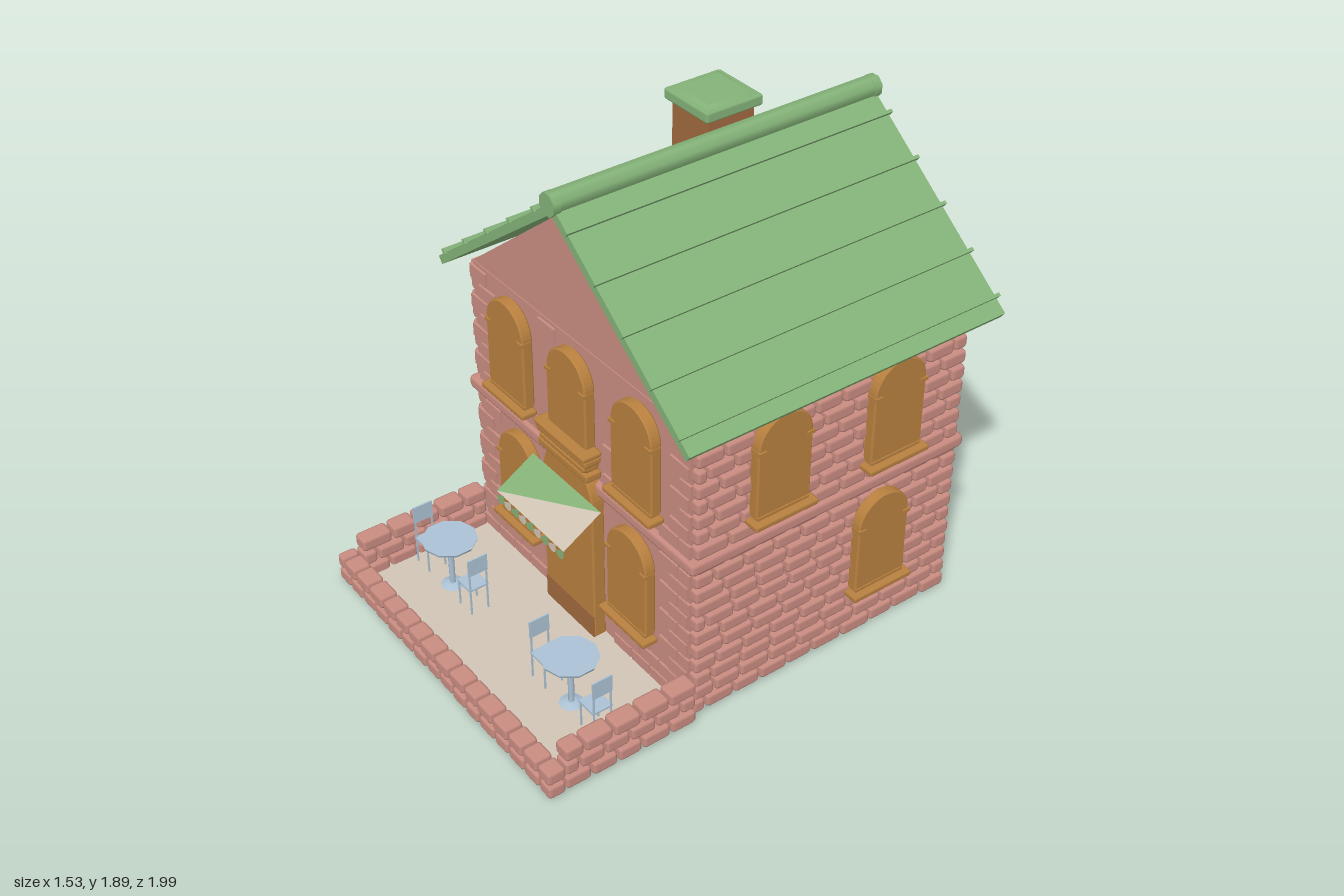
import * as THREE from 'three';
import { mergeGeometries } from 'three/addons/utils/BufferGeometryUtils.js';
import { RoundedBoxGeometry } from 'three/addons/geometries/RoundedBoxGeometry.js';

const mat = (name, color, side = THREE.FrontSide) => {
  const m = new THREE.MeshStandardMaterial({ color, side });
  m.name = name;
  return m;
};

export function createModel() {
  const house = new THREE.Group();
  house.name = 'brickHouse';
  const brick = mat('brickPink', 0xc98c81);
  const green = mat('roofGreen', 0x84b278, THREE.DoubleSide);
  const trim = mat('ochreTrim', 0xb8803f);
  const wood = mat('brownWood', 0xa0683f);
  const blue = mat('glassBlue', 0xabc1d4, THREE.DoubleSide);
  const beige = mat('stoneBeige', 0xd0c4b4, THREE.DoubleSide);

  let seed = 7;
  const rnd = () => (seed = (seed * 16807) % 2147483647) / 2147483647;

  const add = (parent, name, geo, material, x = 0, y = 0, z = 0) => {
    const m = new THREE.Mesh(geo, material);
    m.name = name;
    m.position.set(x, y, z);
    parent.add(m);
    return m;
  };
  const box = (w, h, d) => new THREE.BoxGeometry(w, h, d);
  const soft = (w, h, d, r) => new RoundedBoxGeometry(w, h, d, 1, r);

  // House body with both gables
  const section = new THREE.Shape([[-0.665, 0], [0.665, 0], [0.665, 1.26], [0, 1.8], [-0.665, 1.26]]
    .map(([x, y]) => new THREE.Vector2(x, y)));
  add(house, 'walls', new THREE.ExtrudeGeometry(section, { depth: 1.215, bevelEnabled: false }), brick, 0, 0, -0.87);
  add(house, 'gableLine', box(1.335, 0.008, 1.222), brick, 0, 1.26, -0.2625);
  add(house, 'bandCourse', soft(1.42, 0.055, 1.27, 0.018), brick, 0, 0.7, -0.265);

  // Rows of rounded bricks along x or z
  const pitch = 0.0657;
  const rowOfBricks = (list, alongX, from, to, row, across, depth, len) => {
    let p = from, first = row % 2 ? len * 0.55 : len;
    while (p < to - 0.01) {
      let l = first * (0.9 + 0.2 * rnd());
      first = len;
      if (to - p - l < len * 0.35) l = to - p;
      const d = depth + 0.01 * (rnd() - 0.5);
      const g = alongX ? soft(l - 0.008, 0.056, d, 0.014) : soft(d, 0.056, l - 0.008, 0.014);
      const y = 0.033 + row * pitch;
      list.push(alongX ? g.translate(p + l / 2, y, across) : g.translate(across, y, p + l / 2));
      p += l;
    }
  };

  for (const s of [-1, 1]) {
    const list = [];
    for (let r = 0; r < 19; r++) rowOfBricks(list, false, -0.88, 0.345, r, s * 0.673, 0.056, 0.13);
    add(house, s > 0 ? 'leftBrickwork' : 'rightBrickwork', mergeGeometries(list), brick);
  }

  // Terrace floor and low wall
  add(house, 'terraceFloor', box(1.36, 0.014, 0.62), beige, 0, 0.009, 0.65);
  const low = [];
  for (let r = 0; r < 3; r++) {
    for (const s of [-1, 1]) rowOfBricks(low, false, 0.35, 0.92, r, s * 0.69, 0.075, 0.115);
    if (r < 2) rowOfBricks(low, true, -0.735, 0.735, r, 0.958, 0.075, 0.095);
  }
  add(house, 'terraceWall', mergeGeometries(low), brick);

  // Openings: [x, bottom of frame]
  const upper = [-0.39, 0, 0.39].map((x) => [x, 0.83]);
  const lower = [-0.355, 0.355].map((x) => [x, 0.25]);

  // Scattered facing bricks on the front
  const facing = [];
  const blocked = (x, y, w) =>
    [...upper, ...lower].some(([cx, by]) => Math.abs(x - cx) < 0.115 + w / 2 && y > by - 0.06 && y < by + 0.41) ||
    (Math.abs(x) < 0.15 + w / 2 && y < 0.9) || Math.abs(y - 0.7) < 0.05;
  for (let r = 0; r < 19; r++) {
    const y = 0.033 + r * pitch;
    for (let x = -0.675 + (r % 2) * 0.055; x < 0.66; x += 0.112) {
      const edge = Math.abs(x + 0.053) > 0.55;
      const w = Math.min(0.104, 0.675 - x);
      if (w > 0.03 && (edge || rnd() < 0.75) && !blocked(x + w / 2, y, w))
        facing.push(box(w, 0.056, 0.012).translate(x + w / 2, y, 0.349));
    }
  }
  add(house, 'frontFacingBricks', mergeGeometries(facing), brick);

  // Arched outline: half width r, straight sides from y0 up to y1
  const arch = (Type, r, y0, y1) => {
    const p = new Type();
    p.moveTo(-r, y0);
    p.lineTo(r, y0);
    p.lineTo(r, y1);
    p.absarc(0, y1, r, 0, Math.PI, false);
    p.lineTo(-r, y0);
    return p;
  };
  const archFrame = (ro, ri, y0, y1, depth) => {
    const s = arch(THREE.Shape, ro, y0, y1);
    s.holes.push(arch(THREE.Path, ri, y0 + 0.006, y1));
    const bevel = 0.006;
    return new THREE.ExtrudeGeometry(s, {
      depth: depth - bevel, curveSegments: 12, bevelThickness: bevel, bevelSize: bevel, bevelOffset: -bevel, bevelSegments: 1,
    });
  };

  // Arched window, facing +z with its base at the origin
  const makeWindow = (name, x, y, z, turn = 0) => {
    const g = new THREE.Group();
    g.name = name;
    add(g, 'windowFrame', archFrame(0.12, 0.09, 0, 0.285, 0.04), trim);
    add(g, 'glass', new THREE.ShapeGeometry(arch(THREE.Shape, 0.094, 0.004, 0.285), 12), blue, 0, 0, 0.014);
    for (const s of [-1, 1]) add(g, 'capital', box(0.034, 0.014, 0.046), trim, s * 0.105, 0.278, 0.023);
    add(g, 'sill', soft(0.28, 0.024, 0.07, 0.008), trim, 0, -0.023, 0.032);
    add(g, 'underSill', box(0.23, 0.014, 0.04), trim, 0, -0.006, 0.02);
    g.position.set(x, y, z);
    g.rotation.y = turn;
    house.add(g);
  };
  for (const [x, y] of [...upper, ...lower]) makeWindow('frontWindow', x, y, 0.355);
  for (const [z, y] of [[-0.005, 0.83], [-0.525, 0.83], [-0.495, 0.25]])
    makeWindow('sideWindow', 0.697, y, z, Math.PI / 2);

  // Door with arched frame and cornice
  const door = new THREE.Group();
  door.name = 'door';
  door.position.z = 0.35;
  house.add(door);
  add(door, 'doorFrame', archFrame(0.158, 0.13, 0.02, 0.64, 0.05), trim);
  add(door, 'doorPanel', new THREE.ExtrudeGeometry(arch(THREE.Shape, 0.134, 0.02, 0.635), { depth: 0.026, bevelEnabled: false }), wood);
  for (const s of [-1, 1]) add(door, 'doorLeaf', box(0.12, 0.42, 0.012), wood, s * 0.063, 0.33, 0.03);
  add(door, 'transom', box(0.26, 0.02, 0.02), wood, 0, 0.6, 0.03);
  add(door, 'doorStep', box(0.31, 0.1, 0.05), wood, 0, 0.066, 0.027);
  for (const [w, h, y, d] of [[0.31, 0.035, 0.773, 0.07], [0.28, 0.04, 0.808, 0.06], [0.31, 0.03, 0.838, 0.075], [0.32, 0.024, 0.866, 0.085]])
    add(door, 'cornice', soft(w, h, d, 0.01), trim, 0, y, d / 2);

  // Awning in two triangles with a scalloped valance
  const tri = (...pts) => {
    const g = new THREE.BufferGeometry().setFromPoints(pts.map((p) => new THREE.Vector3(...p)));
    g.computeVertexNormals();
    return g;
  };
  const TL = [-0.22, 0.66, 0.4], TR = [0.215, 0.66, 0.4], BL = [-0.22, 0.56, 0.565], BR = [0.215, 0.56, 0.565];
  add(house, 'awningGreen', tri(TL, BL, TR), green);
  add(house, 'awningBeige', tri(BL, BR, TR), beige);
  const n = 9, sw = 0.435 / n;
  for (let i = 0; i < n; i++) {
    const s = new THREE.Shape();
    s.moveTo(-sw / 2, 0.025);
    s.absarc(0, 0, sw / 2, Math.PI, Math.PI * 2, false);
    s.lineTo(sw / 2, 0.025);
    add(house, 'scallop', new THREE.ShapeGeometry(s, 6), i % 2 ? beige : green, -0.22 + sw * (i + 0.5), 0.54, 0.566);
  }

  // Roof slopes with ribs
  const run = 0.765, rise = 0.585, slope = Math.atan2(rise, run), len = Math.hypot(run, rise);
  for (const s of [-1, 1]) {
    const side = new THREE.Group();
    side.name = s > 0 ? 'leftRoofSlope' : 'rightRoofSlope';
    side.position.set(0, 1.845, -0.275);
    side.rotation.z = -s * slope;
    add(side, 'roofPanel', box(len, 0.034, 1.41), green, s * len / 2, -0.017, 0);
    for (const x of [0.095, 0.25, 0.405, 0.56, 0.71])
      add(side, 'roofRib', box(0.013, 0.022, 1.43), green, s * x / Math.cos(slope), 0.006, 0);
    house.add(side);
  }
  const ridge = add(house, 'ridgeCap', new THREE.CylinderGeometry(0.043, 0.043, 1.44, 8), green, 0, 1.845, -0.275);
  ridge.rotation.set(Math.PI / 2, Math.PI / 8, 0);
  for (const z of [-0.975, 0.43]) {
    const end = add(house, 'ridgeEnd', new THREE.CylinderGeometry(0.046, 0.046, 0.03, 8), green, 0, 1.843, z);
    end.rotation.set(Math.PI / 2, Math.PI / 8, 0);
  }

  // Chimney
  add(house, 'chimney', box(0.212, 0.33, 0.212), wood, -0.325, 1.635, -0.505);
  add(house, 'chimneyCap', soft(0.26, 0.045, 0.26, 0.01), green, -0.325, 1.813, -0.505);
  const capTop = add(house, 'chimneyCapTop', new THREE.CylinderGeometry(0.13, 0.178, 0.014, 4), green, -0.325, 1.837, -0.505);
  capTop.rotation.y = Math.PI / 4;

  // Terrace tables, each with two chairs facing it
  for (const x of [-0.425, 0.387]) {
    const set = new THREE.Group();
    set.name = 'tableAndChairs';
    set.position.set(x, 0.015, 0.665);
    house.add(set);
    add(set, 'tableTop', new THREE.CylinderGeometry(0.11, 0.105, 0.012, 10), blue, 0, 0.222, 0);
    add(set, 'tablePost', new THREE.CylinderGeometry(0.012, 0.012, 0.22, 8), blue, 0, 0.11, 0);
    add(set, 'tableFoot', new THREE.CylinderGeometry(0.02, 0.05, 0.012, 10), blue, 0, 0.006, 0);
    for (const s of [-1, 1]) {
      const chair = new THREE.Group();
      chair.name = 'chair';
      chair.position.x = s * 0.155;
      set.add(chair);
      add(chair, 'seat', box(0.09, 0.008, 0.085), blue, 0, 0.118, 0);
      add(chair, 'backRest', box(0.006, 0.075, 0.085), blue, s * 0.043, 0.228, 0);
      for (const z of [-0.037, 0.037]) {
        add(chair, 'backPost', box(0.006, 0.2, 0.006), blue, s * 0.042, 0.1, z);
        add(chair, 'frontLeg', box(0.006, 0.115, 0.006), blue, -s * 0.04, 0.0575, z);
      }
    }
  }
  return house;
}
